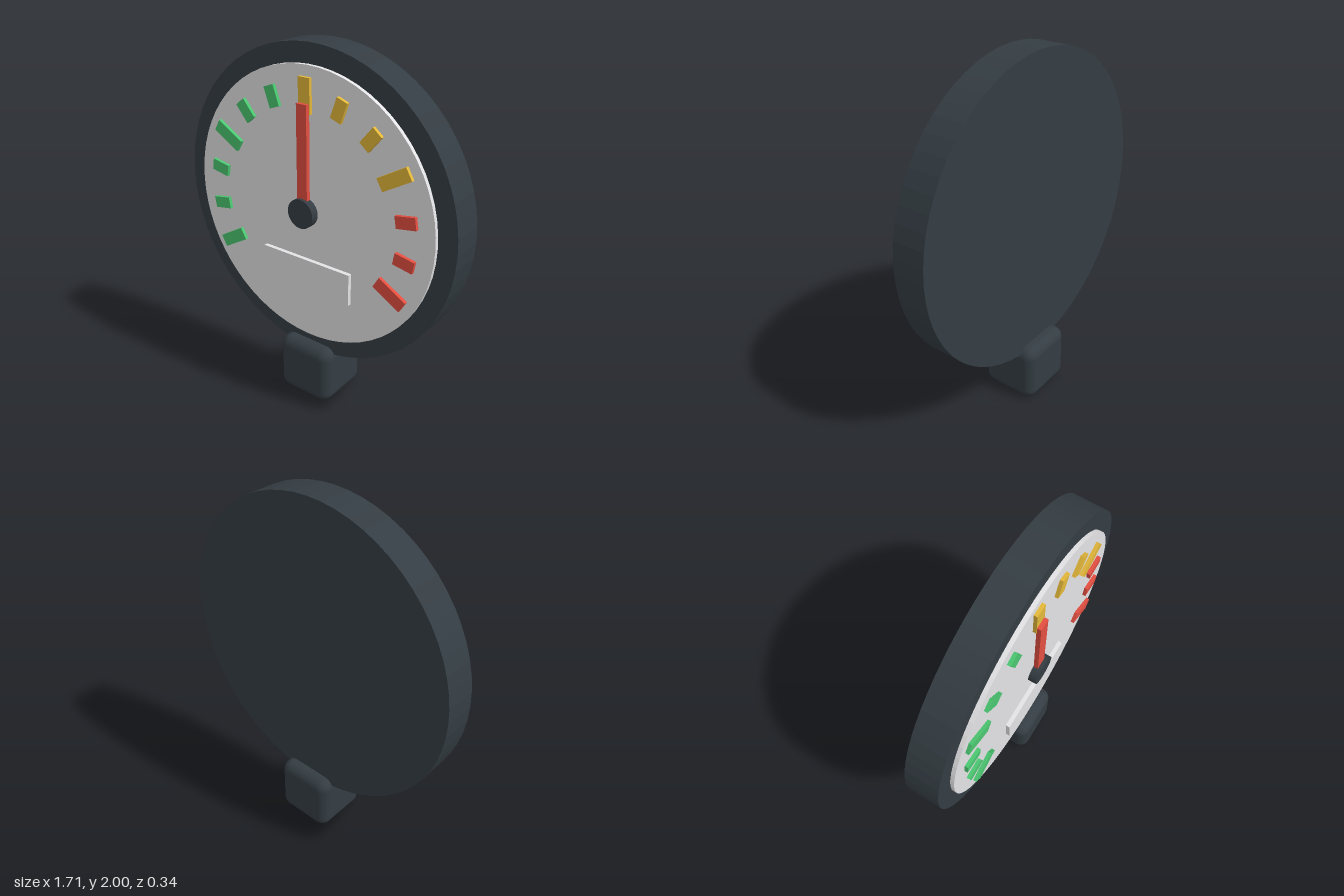
import * as THREE from 'three';
import { RoundedBoxGeometry } from 'three/addons/geometries/RoundedBoxGeometry.js';

const CENTER_Y = 1.146;

function material(name, color) {
  const m = new THREE.MeshStandardMaterial({ color });
  m.name = name;
  return m;
}

export function createModel() {
  const model = new THREE.Group();
  model.name = 'dialGauge';

  const dark = material('dark slate', 0x343d43);
  const white = material('dial white', 0xe4e4e6);
  const green = material('green', 0x4bc771);
  const yellow = material('yellow', 0xe4b83a);
  const red = material('red', 0xe44f41);

  // Everything on the dial is placed relative to its centre
  const dial = new THREE.Group();
  dial.name = 'dial';
  dial.position.y = CENTER_Y;
  model.add(dial);

  function add(parent, name, geometry, mat, x = 0, y = 0, z = 0) {
    const mesh = new THREE.Mesh(geometry, mat);
    mesh.name = name;
    mesh.position.set(x, y, z);
    parent.add(mesh);
    return mesh;
  }

  // Disc facing +z between two depths, with faceted rim
  function disc(name, radius, back, front, mat, sides) {
    const g = new THREE.CylinderGeometry(radius, radius, front - back, sides)
      .rotateX(Math.PI / 2).toNonIndexed();
    g.computeVertexNormals();
    return add(dial, name, g, mat, 0, 0, (back + front) / 2);
  }

  // Box between two depths
  function plate(parent, name, w, h, back, front, mat, x, y) {
    return add(parent, name, new THREE.BoxGeometry(w, h, front - back), mat, x, y, (back + front) / 2);
  }

  // Housing, face and hub
  disc('housing', 0.854, -0.092, 0.092, dark, 64);
  disc('face', 0.752, 0.08, 0.114, white, 64);
  disc('hub', 0.08, 0.127, 0.172, dark, 32);

  // Scale marks: every third one is longer
  for (let i = 0; i <= 12; i++) {
    const major = i % 3 === 0;
    const mat = i < 6 ? green : i < 10 ? yellow : red;
    const mark = new THREE.Group();
    mark.name = major ? 'majorMark' : 'minorMark';
    mark.rotation.z = THREE.MathUtils.degToRad(120 - i * 20);
    plate(mark, 'markBlock', major ? 0.07 : 0.064, major ? 0.18 : 0.112, 0.1, 0.133, mat, 0, 0.606);
    dial.add(mark);
  }

  // Needle and blank display panel
  plate(dial, 'needle', 0.063, 0.57, 0.13, 0.154, red, 0, 0.285);
  plate(dial, 'displayPanel', 0.57, 0.18, 0.1, 0.137, white, 0, -0.366);

  // Rounded foot under the housing
  add(model, 'foot', new RoundedBoxGeometry(0.342, 0.342, 0.342, 4, 0.06), dark, 0, 0.171, 0);

  return model;
}
